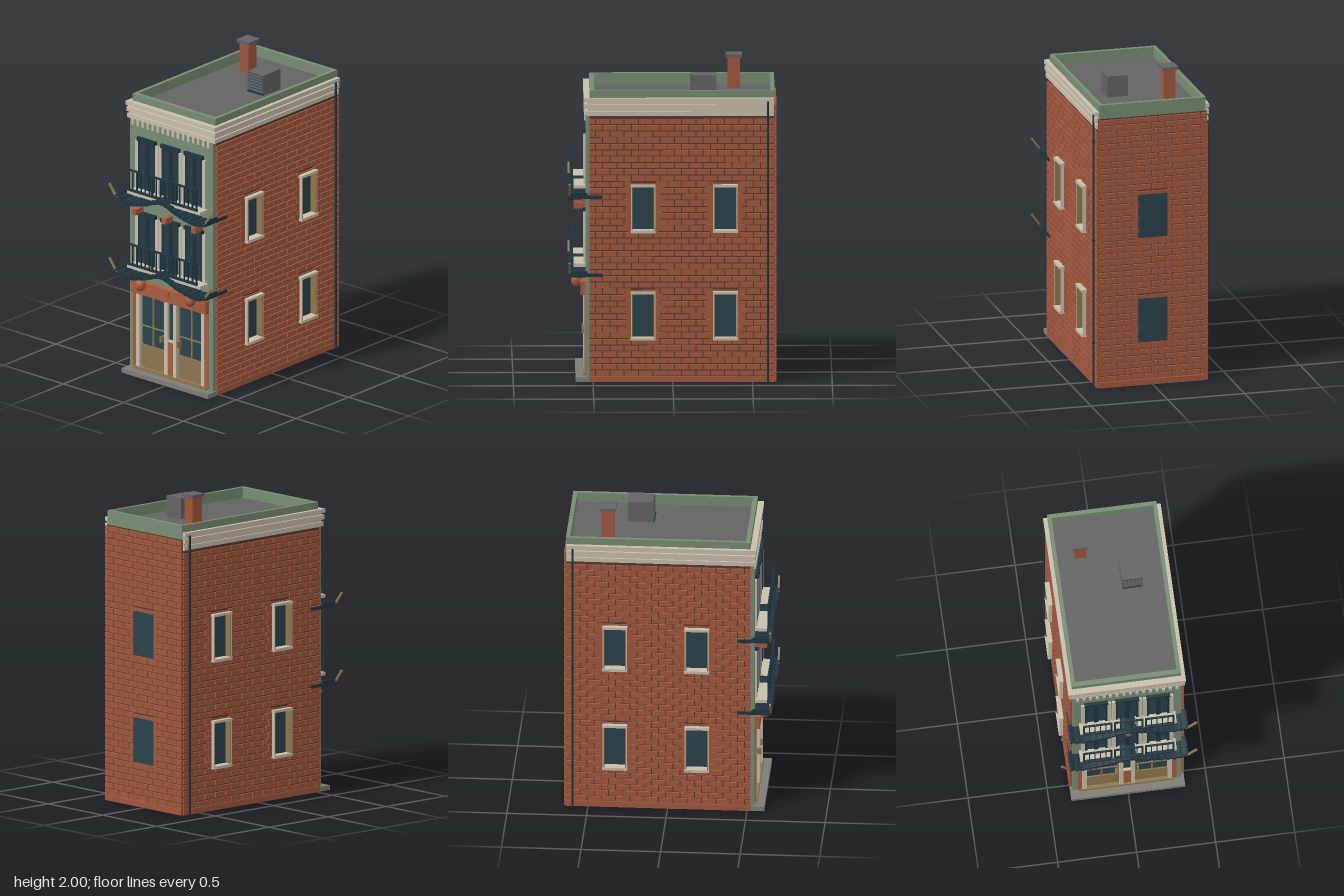
import * as THREE from 'three';
import { mergeGeometries } from 'three/addons/utils/BufferGeometryUtils.js';

const mat = (name, color) => {
  const m = new THREE.MeshStandardMaterial({ color });
  m.name = name;
  return m;
};

export function createModel() {
  const brick = mat('brick', 0xa0573d), mortar = mat('mortar', 0x58392d);
  const green = mat('sage green', 0x788c74), cream = mat('cream stone', 0xc8beab);
  const navy = mat('dark iron', 0x20353f), glass = mat('glass', 0x2b434d);
  const ochre = mat('ochre wood', 0x8e764e), roofGrey = mat('roof grey', 0x636363);
  const stone = mat('pavement stone', 0x7f7c77), terracotta = mat('terracotta', 0xa85b3d);

  const model = new THREE.Group();
  model.name = 'townhouse';

  // Box geometry from its limits
  const geo = (x0, x1, y0, y1, z0, z1) =>
    new THREE.BoxGeometry(x1 - x0, y1 - y0, z1 - z0).translate((x0 + x1) / 2, (y0 + y1) / 2, (z0 + z1) / 2);
  const add = (name, material, geometry) => {
    const mesh = new THREE.Mesh(Array.isArray(geometry) ? mergeGeometries(geometry) : geometry, material);
    mesh.name = name;
    model.add(mesh);
    return mesh;
  };
  const box = (name, material, ...b) => add(name, material, geo(...b));

  // Extruded rectangle [u0, u1, v0, v1] with rectangular holes
  const corners = ([a, b, c, d]) => [[a, c], [b, c], [b, d], [a, d]].map(p => new THREE.Vector2(...p));
  const pierced = (outer, holes, depth) => {
    const shape = new THREE.Shape(corners(outer));
    holes.forEach(h => shape.holes.push(new THREE.Path(corners(h).reverse())));
    return new THREE.ExtrudeGeometry(shape, { depth, bevelEnabled: false });
  };

  // Ground slab, body and roof deck
  box('pavement', stone, -0.36, 0.36, 0, 0.03, 0.522, 0.608);
  box('groundSlab', stone, -0.345, 0.345, 0, 0.03, -0.63, 0.522);
  box('wallCore', mortar, -0.334, 0.334, 0.03, 1.76, -0.638, 0.521);
  box('roof', roofGrey, -0.325, 0.325, 1.76, 1.785, -0.615, 0.495);

  // Brick courses, split around openings [u0, u1, y0, y1]
  const floors = [[0.28, 0.567], [0.963, 1.247]];
  const courses = (u0, u1, top, openings, place) => {
    const list = [], step = 0.04, len = 0.09;
    for (let row = 1; (row + 1) * step <= top + 0.02; row++) {
      const y0 = row * step, y1 = Math.min(y0 + step - 0.008, top);
      const cuts = openings.filter(o => y1 > o[2] && y0 < o[3]);
      for (let u = u0 - (row % 2) * len / 2; u < u1; u += len) {
        let parts = [[Math.max(u, u0), Math.min(u + len - 0.006, u1)]];
        for (const [c0, c1] of cuts) {
          parts = parts.flatMap(([a, b]) => [[a, Math.min(b, c0)], [Math.max(a, c1), b]]);
        }
        for (const [a, b] of parts) if (b - a > 0.006) list.push(place(a, b, y0, y1));
      }
    }
    return list;
  };
  const grow = ([a, b, c, d], e) => [a - e, b + e, c - e, d + e];
  const windowZ = [0.185, -0.33];
  const sideOpenings = floors.flatMap(([a, b]) => windowZ.map(z => [z - 0.074, z + 0.074, a, b]));
  for (const s of [1, -1]) {
    const side = s > 0 ? 'left' : 'right';
    const xr = (a, b) => (s > 0 ? [a, b] : [-b, -a]);
    // Turns a (z, y) plate to face sideways, spanning x0..x1
    const sidePlate = (outer, holes, x0, x1) => pierced(outer.map((v, i) => (i < 2 ? -s * v : v)),
      holes.map(h => h.map((v, i) => (i < 2 ? -s * v : v))), x1 - x0).rotateY(s * Math.PI / 2).translate(s * x0, 0, 0);
    add(side + 'MortarWall', mortar, sidePlate([-0.638, 0.521, 0.03, 1.76], sideOpenings, 0.33, 0.352));
    box(side + 'BaseCourse', brick, ...xr(0.345, 0.363), 0, 0.036, -0.638, 0.522);
    add(side + 'Bricks', brick, courses(-0.638, 0.522, 1.69, sideOpenings.map(o => grow(o, 0.003)),
      (a, b, y0, y1) => geo(...xr(0.345, 0.364), y0, y1, a, b)));

    // Side windows: recessed glass, deep ochre reveals, stone lintel and sill, brick quoins
    for (const o of sideOpenings) {
      const [z0, z1, y0, y1] = o;
      add('windowBrickwork', brick, sidePlate(grow(o, 0.018), [o], 0.35, 0.362));
      box('sideGlass', glass, ...xr(0.33, 0.338), y0, y1, z0, z1);
      box('sideLintel', cream, ...xr(0.334, 0.393), y1 - 0.006, y1 + 0.01, z0 - 0.004, z1 + 0.004);
      box('sideSill', cream, ...xr(0.334, 0.393), y0 - 0.012, y0 + 0.006, z0 - 0.004, z1 + 0.004);
      for (const [e, z] of [[-1, z0], [1, z1]]) {
        const span = (a, b) => (e > 0 ? [z + a, z + b] : [z - b, z - a]);
        box('sideJamb', ochre, ...xr(0.334, 0.388), y0, y1, ...span(-0.008, -0.003));
        box('sideJambTrim', cream, ...xr(0.334, 0.388), y0, y1, ...span(-0.003, 0.002));
        const quoins = [];
        for (let i = 0; i < 7; i++) quoins.push(geo(...xr(0.35, 0.367), y0 + i * 0.04, y0 + i * 0.04 + 0.037, ...span(0.002, i % 2 ? 0.03 : 0.048)));
        add('quoins', brick, quoins);
      }
    }

    // Rainwater pipe
    add('drainpipe', navy, new THREE.CylinderGeometry(0.007, 0.007, 1.785, 8).translate(s * 0.371, 0.8925, -0.597));
    for (const y of [0.28, 0.95, 1.6]) box('pipeClip', navy, ...xr(0.36, 0.38), y, y + 0.012, -0.605, -0.589);
  }

  // Back wall
  const backOpenings = floors.map(([a, b]) => [-0.095, 0.095, a, b]);
  box('backBaseCourse', brick, -0.352, 0.352, 0, 0.036, -0.652, -0.63);
  box('backMortar', mortar, -0.352, 0.352, 0.03, 1.76, -0.6385, -0.63);
  add('backBricks', brick, courses(-0.352, 0.352, 1.76, backOpenings,
    (a, b, y0, y1) => geo(a, b, y0, y1, -0.652, -0.63)));
  for (const o of backOpenings) {
    add('backWindowBrickwork', brick, pierced(grow(o, 0.02), [o], 0.016).translate(0, 0, -0.65));
    box('backGlass', glass, o[0], o[1], o[2], o[3], -0.648, -0.63);
  }

  // Parapet ring
  add('parapet', green, pierced([-0.346, 0.346, -0.52, 0.64], [[-0.322, 0.322, -0.49, 0.613]], 0.09)
    .rotateX(-Math.PI / 2).translate(0, 1.76, 0));

  // Cornice mouldings along the front and sides, and dentils
  const cornice = (hx, y0, y1, z1) => [
    geo(-hx, hx, y0, y1, 0.515, z1), geo(-hx, -0.34, y0, y1, -0.636, 0.515), geo(0.34, hx, y0, y1, -0.636, 0.515)];
  add('cornice', cream, [
    ...cornice(0.355, 1.69, 1.8, 0.535), ...cornice(0.372, 1.78, 1.805, 0.558),
    ...cornice(0.369, 1.737, 1.767, 0.552), ...cornice(0.365, 1.695, 1.722, 0.548)]);
  const dentils = [];
  for (let i = 0; i < 16; i++) {
    const x = -0.315 + i * 0.042;
    dentils.push(geo(x - 0.009, x + 0.009, 1.658, 1.697, 0.54, 0.555));
  }
  add('dentils', cream, dentils);

  // Front facade with an opening for the shopfront
  add('facade', green, pierced([-0.346, 0.346, 0.03, 1.7], [[-0.28, 0.28, 0.04, 0.56]], 0.025).translate(0, 0, 0.52));

  // Shopfront: doors, pilasters, central pier
  box('threshold', ochre, -0.3, 0.3, 0.03, 0.05, 0.522, 0.56);
  for (const s of [1, -1]) {
    const c = s * 0.16;
    box('doorGlass', glass, c - 0.11, c + 0.11, 0.19, 0.55, 0.52, 0.528);
    box('doorPanel', ochre, c - 0.11, c + 0.11, 0.05, 0.2, 0.52, 0.536);
    add('doorFrame', ochre, [
      ...[-0.105, 0, 0.105].map(d => geo(c + d - 0.005, c + d + 0.005, 0.2, 0.55, 0.522, 0.536)),
      ...[0.325, 0.54].map(y => geo(c - 0.108, c + 0.108, y - 0.004, y + 0.004, 0.522, 0.535))]);
    box('doorHandle', ochre, c - s * 0.09 - 0.005, c - s * 0.09 + 0.005, 0.26, 0.3, 0.53, 0.57);
    box('outerPilaster', cream, s * 0.27 - 0.014, s * 0.27 + 0.014, 0.05, 0.55, 0.522, 0.556);
    box('outerStrip', terracotta, s * 0.298 - 0.013, s * 0.298 + 0.013, 0.04, 0.55, 0.53, 0.553);
    box('innerPilaster', cream, s * 0.037 - 0.013, s * 0.037 + 0.013, 0.05, 0.55, 0.522, 0.556);
  }
  box('pierGlass', glass, -0.025, 0.025, 0.28, 0.55, 0.522, 0.535);
  box('pierBase', terracotta, -0.025, 0.025, 0.04, 0.275, 0.522, 0.548);
  box('pierSill', cream, -0.025, 0.025, 0.272, 0.285, 0.522, 0.552);

  // Fascia board and round lanterns
  box('fascia', terracotta, -0.312, 0.312, 0.545, 0.63, 0.53, 0.576);
  box('fasciaCap', terracotta, -0.318, 0.318, 0.62, 0.633, 0.53, 0.582);
  box('fasciaPlaque', brick, -0.014, 0.014, 0.585, 0.622, 0.57, 0.586);
  for (const s of [1, -1]) {
    add('lantern', terracotta, new THREE.SphereGeometry(0.036, 12, 8).scale(1, 1.2, 1).translate(s * 0.207, 0.625, 0.602));
    box('lanternCap', navy, s * 0.207 - 0.01, s * 0.207 + 0.01, 0.664, 0.672, 0.592, 0.612);
  }

  // Upper storeys: shuttered windows, railings, sweeping canopies
  for (const base of [0.748, 1.245]) {
    for (const x of [-0.196, 0, 0.196]) {
      const top = base + 0.345;
      box('windowGlass', glass, x - 0.07, x + 0.07, base, top - 0.01, 0.54, 0.548);
      add('windowSurround', cream, [-1, 1].map(s => geo(x + s * 0.083 - 0.012, x + s * 0.083 + 0.012, base, top - 0.025, 0.54, 0.558)));
      const iron = [geo(x - 0.075, x + 0.075, top - 0.025, top, 0.54, 0.566)];
      for (const d of [-0.064, -0.006, 0.006, 0.064]) iron.push(geo(x + d - 0.007, x + d + 0.007, base, top - 0.02, 0.54, 0.556));
      for (let y = base + 0.02; y < top - 0.03; y += 0.02) iron.push(geo(x - 0.06, x + 0.06, y, y + 0.009, 0.54, 0.553));
      add('shutters', navy, iron);

      const rail = [geo(x - 0.092, x + 0.092, base + 0.136, base + 0.147, 0.622, 0.633),
        geo(x - 0.092, x + 0.092, base + 0.004, base + 0.016, 0.622, 0.64)];
      for (let i = 0; i < 6; i++) {
        const u = x - 0.087 + i * 0.0348, w = i % 5 ? 0.003 : 0.005;
        rail.push(geo(u - w, u + w, base, base + 0.14, 0.623, 0.632));
      }
      add('railing', navy, rail);
    }
    box('balconyLedge', cream, -0.305, 0.305, base - 0.025, base - 0.004, 0.53, 0.62);

    // Canopy: a thin wave with ribs, turned a little way down each side
    const wave = new THREE.SplineCurve([[-0.385, -0.045], [-0.33, -0.066], [-0.26, -0.066], [-0.14, -0.04], [0, 0.002],
      [0.14, -0.04], [0.26, -0.066], [0.33, -0.066], [0.385, -0.045]].map(([x, y]) => new THREE.Vector2(x * 0.96, base + y)));
    const pts = wave.getSpacedPoints(36);
    const band = new THREE.Shape([...pts.map(p => new THREE.Vector2(p.x, p.y - 0.024)), ...pts.slice().reverse()]);
    add('canopy', navy, new THREE.ExtrudeGeometry(band, { depth: 0.115, bevelEnabled: false }).translate(0, 0, 0.535));
    add('canopyRibs', navy, pts.filter((p, i) => i % 2 === 0)
      .map(p => geo(p.x - 0.006, p.x + 0.006, p.y - 0.022, p.y + 0.004, 0.535, 0.655)));
    for (const s of [1, -1]) {
      box('canopyReturn', navy, s * 0.359 - 0.011, s * 0.359 + 0.011, base - 0.078, base - 0.058, 0.44, 0.65);
      const horn = add('canopyHorn', ochre, new THREE.BoxGeometry(0.013, 0.105, 0.012));
      horn.position.set(s * 0.395, base - 0.022, 0.648);
      horn.rotation.z = -s * 0.64;
    }
  }

  // Projecting beam ends between storeys
  for (const x of [-0.248, 0, 0.246]) box('beamEnd', terracotta, x - 0.016, x + 0.016, 1.087, 1.125, 0.535, 0.62);

  // Chimney
  box('chimney', brick, -0.211, -0.137, 1.77, 1.985, -0.425, -0.347);
  box('chimneyCap', roofGrey, -0.225, -0.123, 1.98, 2.0, -0.438, -0.335);

  // Rooftop air unit with louvred front
  box('airUnit', roofGrey, 0.057, 0.19, 1.78, 1.92, -0.277, -0.118);
  box('airUnitGrille', navy, 0.063, 0.184, 1.79, 1.912, -0.12, -0.115);
  box('airUnitLip', navy, 0.06, 0.187, 1.787, 1.795, -0.118, -0.108);
  const slats = [];
  for (let i = 0; i < 6; i++) slats.push(geo(0.06, 0.187, 1.801 + i * 0.019, 1.815 + i * 0.019, -0.118, -0.112));
  add('airUnitSlats', roofGrey, slats);

  return model;
}
